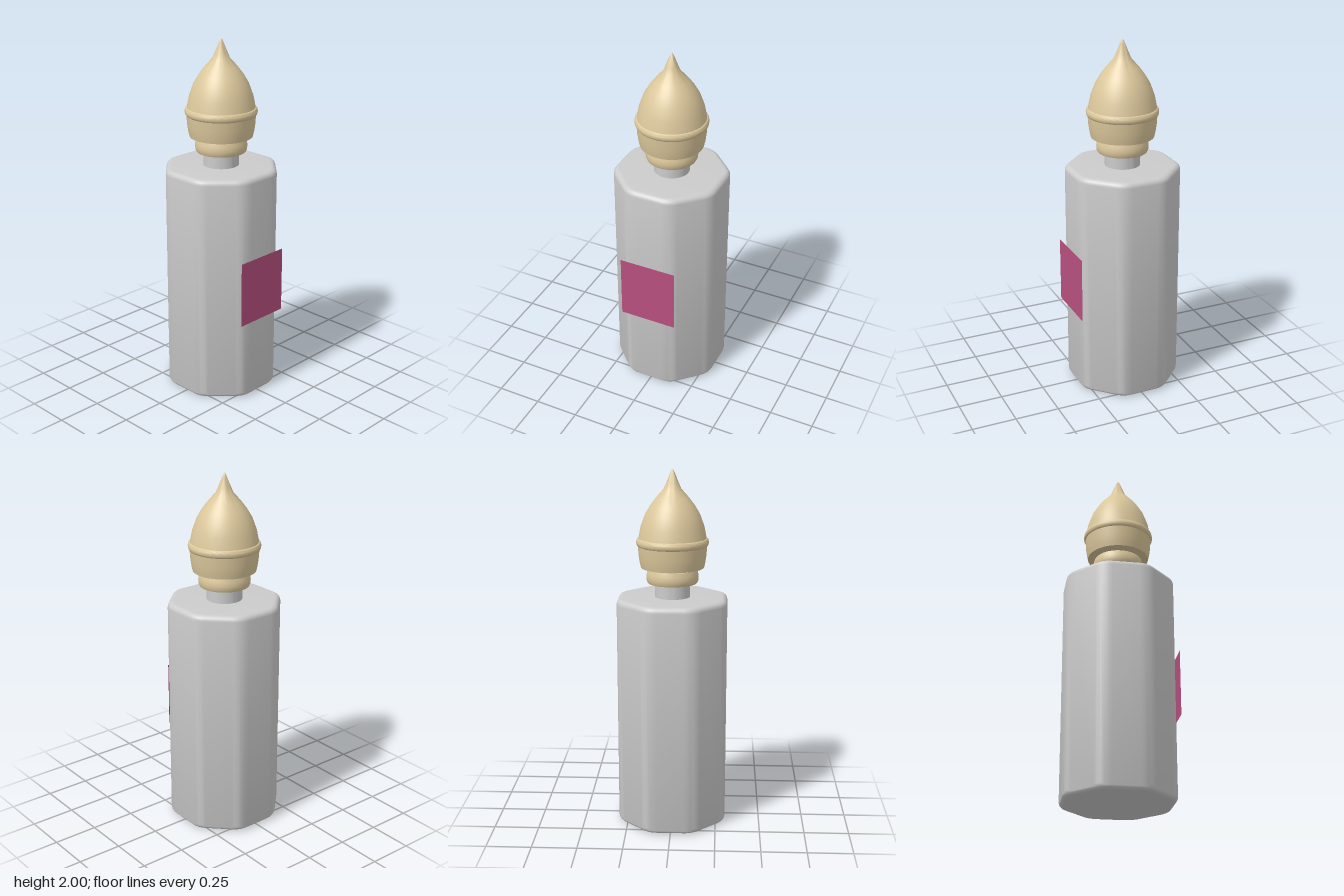
import * as THREE from 'three';
import { toCreasedNormals } from 'three/addons/utils/BufferGeometryUtils.js';

const glass = new THREE.MeshStandardMaterial({ color: 0xcccccc });
const gold = new THREE.MeshStandardMaterial({ color: 0xdcc89c });
const pink = new THREE.MeshStandardMaterial({ color: 0xb8507f, side: THREE.DoubleSide });

const CENTRE_Z = -0.007;

// Octagon with rounded corners, flat sides facing the axes
function octagon(apothem, cut) {
  const shape = new THREE.Shape();
  const radius = apothem / Math.cos(Math.PI / 8);
  const corner = (i) => new THREE.Vector2(radius, 0).rotateAround(new THREE.Vector2(), Math.PI / 8 + i * Math.PI / 4);
  for (let i = 0; i < 8; i++) {
    const c = corner(i);
    const step = (other) => c.clone().add(other.sub(c).setLength(cut));
    const start = step(corner(i - 1)), end = step(corner(i + 1));
    if (i === 0) shape.moveTo(start.x, start.y);
    else shape.lineTo(start.x, start.y);
    shape.quadraticCurveTo(c.x, c.y, end.x, end.y);
  }
  shape.closePath();
  return shape;
}

// Turned part from [radius, height] pairs, listed bottom to top
function turned(name, profile, material, crease = 0.6) {
  const points = profile.map(([r, y]) => new THREE.Vector2(r, y));
  const geometry = toCreasedNormals(new THREE.LatheGeometry(points, 64), crease);
  const mesh = new THREE.Mesh(geometry, material);
  mesh.name = name;
  mesh.position.z = CENTRE_Z;
  return mesh;
}

export function createModel() {
  const model = new THREE.Group();
  model.name = 'bottle';

  // Eight-sided body with softened edges
  const bevel = 0.03;
  const bodyGeometry = new THREE.ExtrudeGeometry(octagon(0.304 - bevel, 0.04), {
    depth: 1.3 - 2 * bevel, bevelEnabled: true, bevelSize: bevel,
    bevelThickness: bevel, bevelSegments: 5, curveSegments: 5,
  });
  bodyGeometry.rotateX(-Math.PI / 2).translate(0, bevel, 0);
  const body = new THREE.Mesh(toCreasedNormals(bodyGeometry, 0.6), glass);
  body.name = 'body';
  body.position.z = CENTRE_Z;
  model.add(body);

  // Neck and collar
  model.add(turned('neck', [[0, 1.28], [0.098, 1.28], [0.098, 1.42], [0, 1.42]], glass));
  model.add(turned('collar', [
    [0, 1.378], [0.136, 1.378], [0.142, 1.39], [0.144, 1.41],
    [0.142, 1.43], [0.135, 1.453], [0, 1.453],
  ], gold));

  // Stopper: cup, bead and pointed dome
  const stopper = new THREE.Group();
  stopper.name = 'stopper';
  stopper.add(turned('stopperCup', [
    [0, 1.464], [0.174, 1.464], [0.18, 1.49], [0.186, 1.53], [0.19, 1.585], [0, 1.585],
  ], gold));
  const bead = [[0, 1.582]];
  for (let i = 0; i <= 8; i++) {
    const a = -Math.PI / 2 + i * Math.PI / 8;
    bead.push([0.187 + 0.012 * Math.cos(a), 1.604 + 0.022 * Math.sin(a)]);
  }
  bead.push([0, 1.626]);
  stopper.add(turned('stopperBead', bead, gold));
  stopper.add(turned('stopperDome', [
    [0.188, 1.62], [0.175, 1.687], [0.15, 1.756], [0.122, 1.803], [0.09, 1.846],
    [0.048, 1.893], [0.034, 1.925], [0.014, 1.975], [0.005, 1.995], [0, 2],
  ], gold, 0.9));
  model.add(stopper);

  // Flat label standing just off the front face
  const label = new THREE.Mesh(new THREE.PlaneGeometry(0.328, 0.371), pink);
  label.name = 'label';
  label.position.set(0, 0.652, 0.31);
  model.add(label);

  return model;
}
